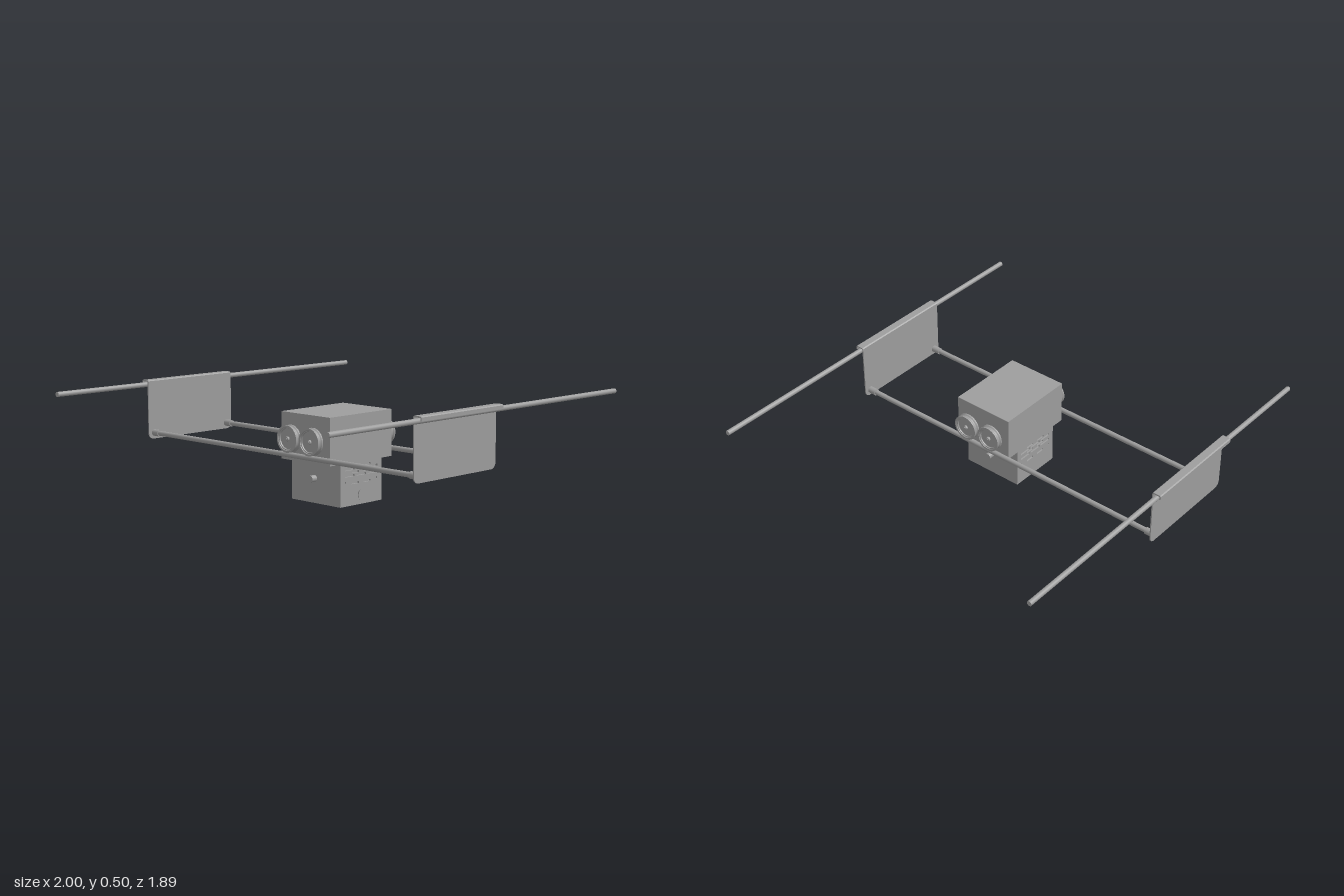
import * as THREE from 'three';

const grey = new THREE.MeshStandardMaterial({ color: 0x9d9d9d });
const CX = -0.176; // centre line of the carriage and hangers

export function createModel() {
  const model = new THREE.Group();

  const add = (name, geometry, x = 0, y = 0, z = 0) => {
    const mesh = new THREE.Mesh(geometry, grey);
    mesh.name = name;
    mesh.position.set(x, y, z);
    model.add(mesh);
    return mesh;
  };
  const box = (name, w, h, d, x, y, z) => add(name, new THREE.BoxGeometry(w, h, d), x, y, z);
  const rodX = (name, r, len, x, y, z) =>
    add(name, new THREE.CylinderGeometry(r, r, len, 24).rotateZ(Math.PI / 2), x, y, z);
  const rodZ = (name, r, len, x, y, z) =>
    add(name, new THREE.CylinderGeometry(r, r, len, 24).rotateX(Math.PI / 2), x, y, z);

  // Hanger plate outline with rounded lower corners
  const x0 = -0.455, x1 = 0.102, y0 = 0.204, y1 = 0.496, c = 0.03;
  const plate = new THREE.Shape();
  plate.moveTo(x0, y1);
  plate.lineTo(x0, y0 + c);
  plate.absarc(x0 + c, y0 + c, c, Math.PI, Math.PI * 1.5);
  plate.absarc(x1 - c, y0 + c, c, -Math.PI / 2, 0);
  plate.lineTo(x1, y1);

  for (const s of [1, -1]) {
    const end = s > 0 ? 'front' : 'back';
    add(end + 'HangerPlate',
      new THREE.ExtrudeGeometry(plate, { depth: 0.006, bevelEnabled: false }), 0, 0, s * 0.9 - 0.003);

    // Folded lip that hooks over the cross bar
    const hook = new THREE.Shape();
    [[0.897, 0.484], [0.897, 0.499], [0.902, 0.504], [0.939, 0.504], [0.944, 0.499],
      [0.944, 0.482], [0.938, 0.482], [0.938, 0.497], [0.903, 0.497], [0.903, 0.484]]
      .forEach(([z, y], i) => (i ? hook.lineTo(-s * z, y) : hook.moveTo(-s * z, y)));
    add(end + 'HangerHook',
      new THREE.ExtrudeGeometry(hook, { depth: x1 - x0, bevelEnabled: false }).rotateY(Math.PI / 2), x0);

    rodX(end + 'CrossBar', 0.0125, 2, 0, 0.481, s * 0.919);
    for (const x of [-0.42, 0.068]) rodZ(end + 'RailSocket', 0.017, 0.045, x, 0.235, s * 0.876);
  }

  // Long running rails
  for (const x of [-0.42, 0.068]) rodZ('rail', 0.0125, 1.794, x, 0.235, 0);

  // Carriage housing
  box('upperHousing', 0.417, 0.226, 0.322, CX, 0.316, 0.163);
  box('lowerHousingCore', 0.28, 0.203, 0.302, CX, 0.1015, 0.163);

  // Slotted panel closing the front and back of the lower housing
  const rect = (path, cx, cy, w, h) => path
    .moveTo(cx - w / 2, cy - h / 2).lineTo(cx + w / 2, cy - h / 2)
    .lineTo(cx + w / 2, cy + h / 2).lineTo(cx - w / 2, cy + h / 2).closePath();
  const panel = rect(new THREE.Shape(), 0, 0.1015, 0.28, 0.203);
  const slot = (x, y, w) => panel.holes.push(rect(new THREE.Path(), x, y, w, 0.01));
  for (const y of [0.106, 0.158, 0.187]) for (const x of [-0.04, 0.04]) slot(x, y, 0.048);
  for (const y of [0.143, 0.173]) for (const x of [-0.077, 0, 0.077]) slot(x, y, 0.066);
  for (const x of [-0.105, 0.105]) slot(x, 0.113, 0.007);
  for (const [name, z] of [['frontVentPanel', 0.314], ['backVentPanel', 0.002]]) {
    add(name, new THREE.ExtrudeGeometry(panel, { depth: 0.01, bevelEnabled: false }), CX, 0, z);
  }

  // Wheel profile: hub, recessed web, stepped rim and shallow running groove
  const half = [[0.001, 0.017], [0.011, 0.017], [0.011, 0.006], [0.048, 0.006], [0.05, 0.012],
    [0.054, 0.012], [0.056, 0.016], [0.065, 0.016], [0.065, 0.009], [0.061, 0.004]];
  const profile = [...half, ...half.slice().reverse().map(([r, h]) => [r, -h])]
    .map(([r, h]) => new THREE.Vector2(r, -h));

  for (const s of [1, -1]) {
    const side = s > 0 ? 'left' : 'right';
    for (const z of [0.091, 0.236]) {
      // One lathe per profile segment keeps the rim edges sharp
      const wheel = new THREE.Group();
      wheel.name = side + 'Wheel';
      for (let i = 1; i < profile.length; i++) {
        const mesh = new THREE.Mesh(new THREE.LatheGeometry([profile[i - 1], profile[i]], 40), grey);
        mesh.name = 'wheelSurface';
        wheel.add(mesh);
      }
      wheel.rotation.z = Math.PI / 2;
      wheel.position.set(CX + s * 0.245, 0.311, z);
      model.add(wheel);
      rodX(side + 'AxleSpacer', 0.02, 0.034, CX + s * 0.222, 0.311, z);
      rodX(side + 'Axle', 0.006, 0.06, CX + s * 0.235, 0.311, z);
    }
    // Side connector
    rodX(side + 'ConnectorStem', 0.009, 0.02, CX + s * 0.146, 0.12, 0.163);
    rodX(side + 'ConnectorHead', 0.016, 0.03, CX + s * 0.163, 0.12, 0.163);
  }

  // Round lens on the front, flaring outward
  add('frontLens', new THREE.CylinderGeometry(0.03, 0.022, 0.014, 32).rotateX(Math.PI / 2), CX, 0.046, 0.329);

  return model;
}
